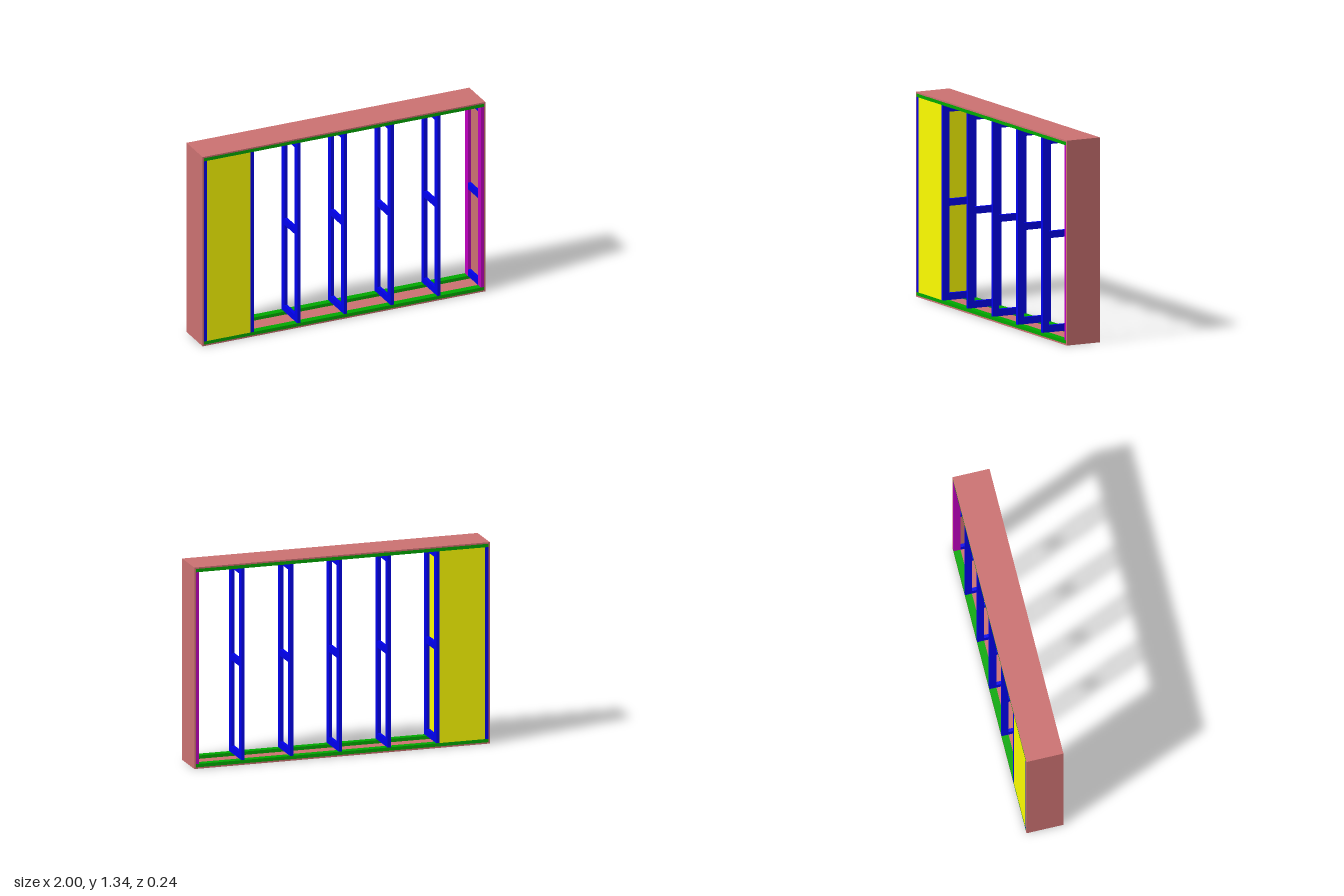
import * as THREE from 'three';

const W = 2, H = 1.335, D = 0.244; // overall size
const SKIN = 0.01;                 // outer casing thickness
const T = 0.022;                   // timber thickness
const B = 0.045;                   // timber breadth

const paint = (color) => new THREE.MeshStandardMaterial({ color });

export function createModel() {
  const model = new THREE.Group();
  const casingMat = paint(0xcc7272), plateMat = paint(0x00aa00), studMat = paint(0x0000ee);
  const endMat = paint(0xc000c0), infillMat = paint(0xffff00);

  // Box given by its centre and size
  const box = (parent, name, mat, [w, h, d], [x, y, z]) => {
    const mesh = new THREE.Mesh(new THREE.BoxGeometry(w, h, d), mat);
    mesh.name = name;
    mesh.position.set(x, y, z);
    parent.add(mesh);
  };

  // Outer casing, open at front and back
  const casing = new THREE.Group();
  casing.name = 'casing';
  model.add(casing);
  box(casing, 'casingBottom', casingMat, [W, SKIN, D], [0, SKIN / 2, 0]);
  box(casing, 'casingTop', casingMat, [W, SKIN, D], [0, H - SKIN / 2, 0]);
  for (const s of [-1, 1]) {
    box(casing, s < 0 ? 'casingRight' : 'casingLeft', casingMat,
      [SKIN, H - 2 * SKIN, D], [s * (W - SKIN) / 2, H / 2, 0]);
  }

  // Bottom and top plates along the front and back edges
  const zEdge = (D - B) / 2;
  for (const s of [-1, 1]) {
    box(model, 'bottomPlate', plateMat, [W - 2 * SKIN, T, B], [0, SKIN + T / 2, s * zEdge]);
    box(model, 'topPlate', plateMat, [W - 2 * SKIN, T, B], [0, H - SKIN - T / 2, s * zEdge]);
  }

  // Twin studs joined by three crosspieces
  const y0 = SKIN + T, y1 = H - SKIN - T;
  const addStud = (x, mat, name) => {
    const stud = new THREE.Group();
    stud.name = name;
    stud.position.x = x;
    model.add(stud);
    for (const s of [-1, 1]) {
      box(stud, 'upright', mat, [T, y1 - y0, B], [0, H / 2, s * zEdge]);
    }
    for (const y of [y0 + B / 2, H / 2, y1 - B / 2]) {
      box(stud, 'crosspiece', studMat, [T, B, D - 2 * B], [0, y, 0]);
    }
  };
  const first = -W / 2 + SKIN + T / 2, pitch = 0.33;
  for (let i = 0; i < 6; i++) addStud(first + i * pitch, studMat, 'stud');
  addStud(-first, endMat, 'endStud');

  // Solid infill of the first bay
  box(model, 'infill', infillMat, [pitch - T, y1 - y0, D], [first + pitch / 2, H / 2, 0]);

  return model;
}
